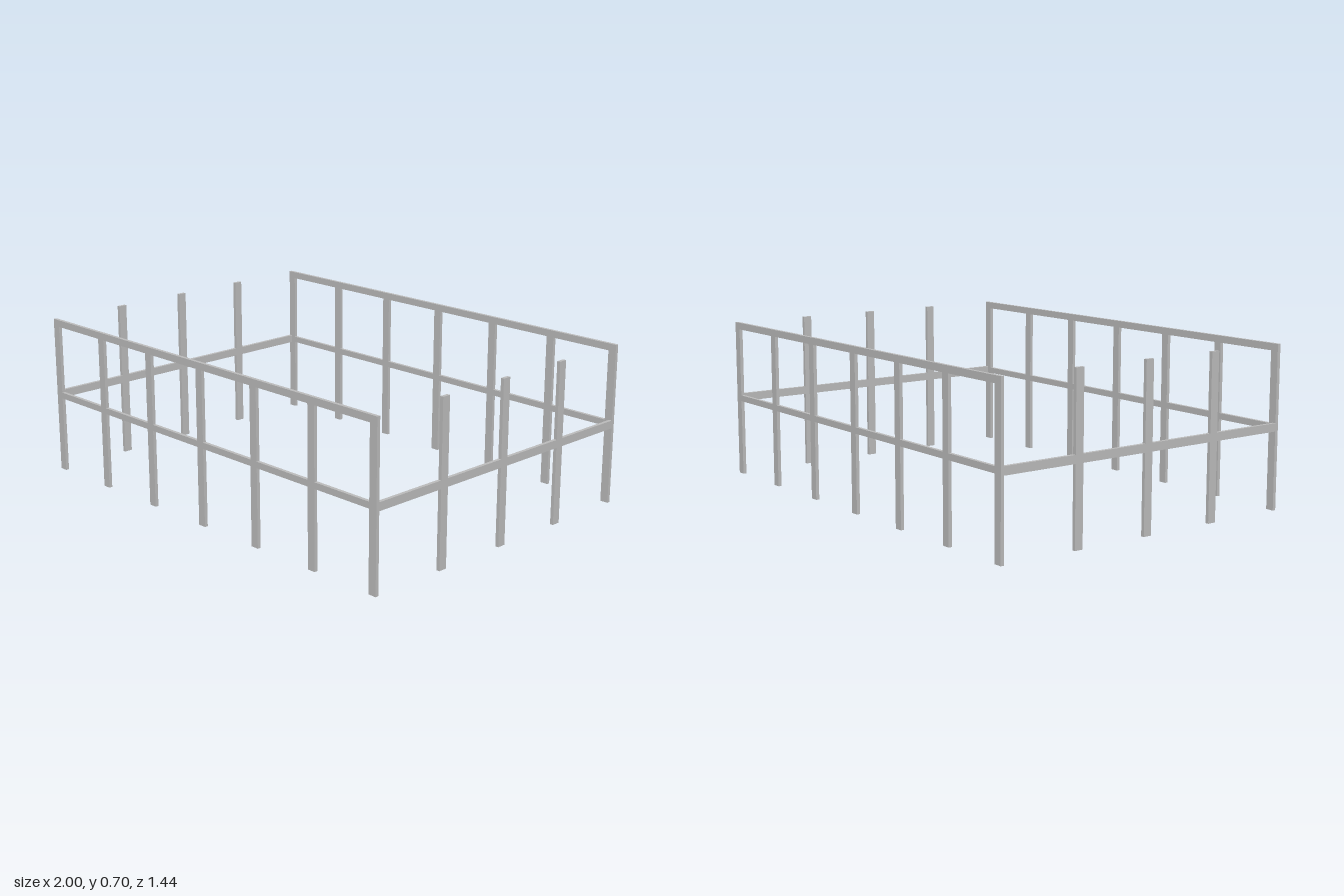
import * as THREE from 'three';

export function createModel() {
  const group = new THREE.Group();
  const metal = new THREE.MeshStandardMaterial({ color: 0xbababa });
  metal.name = 'light grey metal';

  const H = 0.7, POST = 0.037, T = 0.015;
  const box = (name, w, h, d, x, y, z) => {
    const mesh = new THREE.Mesh(new THREE.BoxGeometry(w, h, d), metal);
    mesh.name = name;
    mesh.position.set(x, y, z);
    group.add(mesh);
  };

  for (const s of [1, -1]) {
    const long = s > 0 ? 'front' : 'back';
    const side = s > 0 ? 'left' : 'right';
    const z = s * 0.711, x = s * (1 - T / 2);

    // Long fence: seven posts, with rails fitted between them
    const pitch = (2 - POST) / 6;
    for (let i = -3; i <= 3; i++) box(long + 'Post', POST, H - 0.03, T, i * pitch, (H - 0.03) / 2, z);
    box(long + 'TopRail', 2, 0.03, T, 0, H - 0.015, z);
    for (let i = -2.5; i <= 2.5; i++) box(long + 'MiddleRail', pitch - POST, 0.027, T, i * pitch, 0.353, z);

    // Short side: three free-standing posts joined by one middle rail
    for (let i = -1; i <= 1; i++) box(side + 'Post', T, H, 0.038, x, H / 2, i * 0.349);
    const edges = [-0.7035, -0.368, -0.33, -0.019, 0.019, 0.33, 0.368, 0.7035];
    for (let i = 0; i < edges.length; i += 2) {
      const a = edges[i], b = edges[i + 1];
      box(side + 'MiddleRail', T, 0.035, b - a, x, 0.353, (a + b) / 2);
    }
  }
  return group;
}
